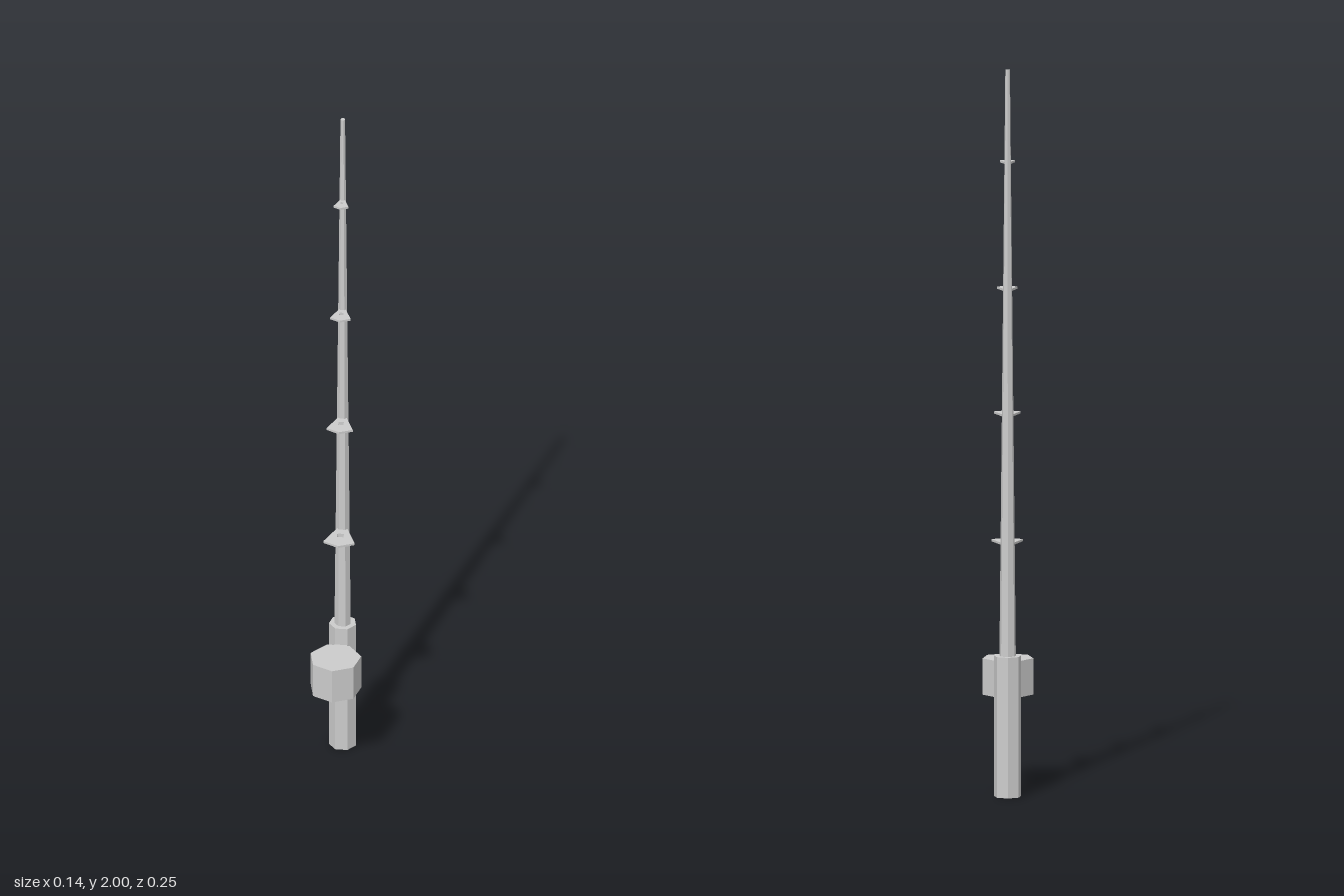
import * as THREE from 'three';

const ROD_X = 0.003, ROD_Z = -0.087;

export function createModel() {
  const group = new THREE.Group();
  const material = new THREE.MeshStandardMaterial({ color: 0xcccccc, flatShading: true });

  function add(name, geometry, x, y, z, turn = 0) {
    const mesh = new THREE.Mesh(geometry, material);
    mesh.name = name;
    mesh.position.set(x, y, z);
    mesh.rotation.y = turn;
    group.add(mesh);
  }

  // Seven-sided prism or cone between two heights
  function prism(name, rTop, rBottom, y0, y1, x, z, turn) {
    add(name, new THREE.CylinderGeometry(rTop, rBottom, y1 - y0, 7), x, (y0 + y1) / 2, z, turn);
  }

  prism('handle', 0.038, 0.038, 0, 0.387, ROD_X, ROD_Z, Math.PI);
  prism('pole', 0.0065, 0.023, 0.38, 2, ROD_X, ROD_Z, Math.PI);

  // Reel and the bracket holding it
  prism('reel', 0.071, 0.071, 0.26, 0.36, 0, 0.052, 0);
  add('reelBracket', new THREE.BoxGeometry(0.035, 0.066, 0.06), 0.002, 0.303, -0.035);

  // Line guides: kite-shaped plates with a hole, smaller towards the tip
  const guides = [
    [0.692, 0.043, 0.103],
    [1.046, 0.036, 0.085],
    [1.392, 0.028, 0.066],
    [1.742, 0.02, 0.048],
  ];
  for (const [y, w, d] of guides) {
    const shape = new THREE.Shape([
      [-w * 0.22, 0], [w * 0.22, 0], [w, d * 0.8], [0, d], [-w, d * 0.8],
    ].map(([x, z]) => new THREE.Vector2(x, z)));
    const h = w * 0.2, hz = d * 0.46;
    shape.holes.push(new THREE.Path([
      [-h, hz - h], [-h, hz + h], [h, hz + h], [h, hz - h],
    ].map(([x, z]) => new THREE.Vector2(x, z))));
    const thickness = 0.006;
    const plate = new THREE.ExtrudeGeometry(shape, { depth: thickness, bevelEnabled: false });
    plate.rotateX(Math.PI / 2).translate(0, thickness / 2, 0);
    add('lineGuide', plate, ROD_X, y, ROD_Z);
  }

  return group;
}
